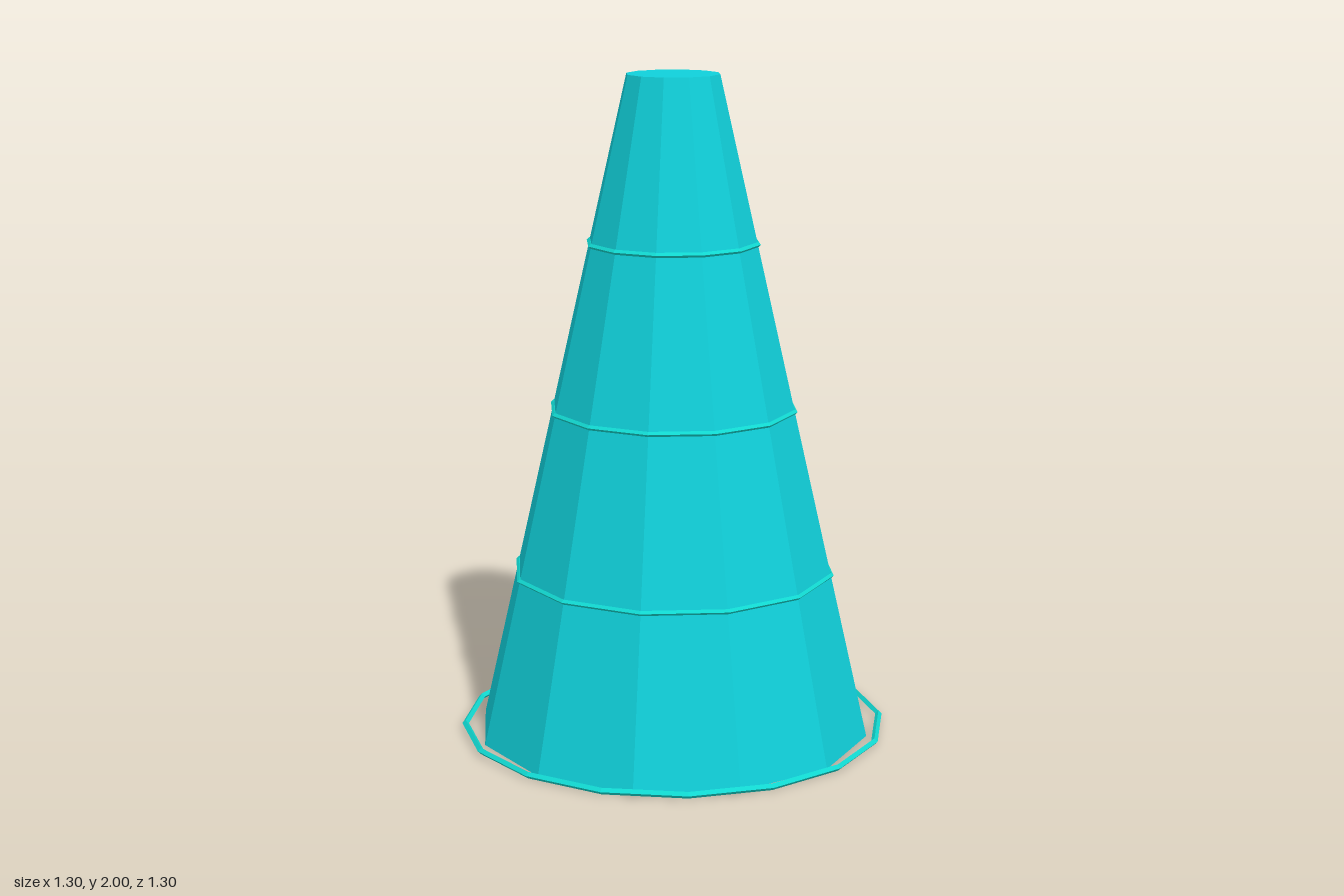
import * as THREE from 'three';

export function createModel() {
  const group = new THREE.Group();
  const turquoise = new THREE.MeshStandardMaterial({ color: 0x10d0da, flatShading: true });
  turquoise.name = 'turquoise';
  const aqua = new THREE.MeshStandardMaterial({ color: 0x11d8d0, flatShading: true });
  aqua.name = 'aqua';

  const height = 2, bottomRadius = 0.6, topRadius = 0.14;

  // Closed twelve-sided tapering body
  const body = new THREE.Mesh(
    new THREE.CylinderGeometry(topRadius, bottomRadius, height, 12), turquoise);
  body.name = 'coneBody';
  body.position.y = height / 2;
  group.add(body);

  // Thin horizontal ring with a diamond cross-section
  function addRing(name, radius, tube, sides, y) {
    const ring = new THREE.Mesh(new THREE.TorusGeometry(radius, tube, 4, sides), aqua);
    ring.name = name;
    ring.rotation.x = Math.PI / 2;
    ring.position.y = y;
    group.add(ring);
  }

  // Bands hugging the body
  [0.5, 1, 1.5].forEach((y, i) => {
    const radius = THREE.MathUtils.lerp(bottomRadius, topRadius, y / height);
    addRing(`band${i + 1}`, radius, 0.008, 12, y + 0.003);
  });

  // Wider loose hoop around the foot
  addRing('baseHoop', 0.64, 0.01, 16, 0.015);

  return group;
}
